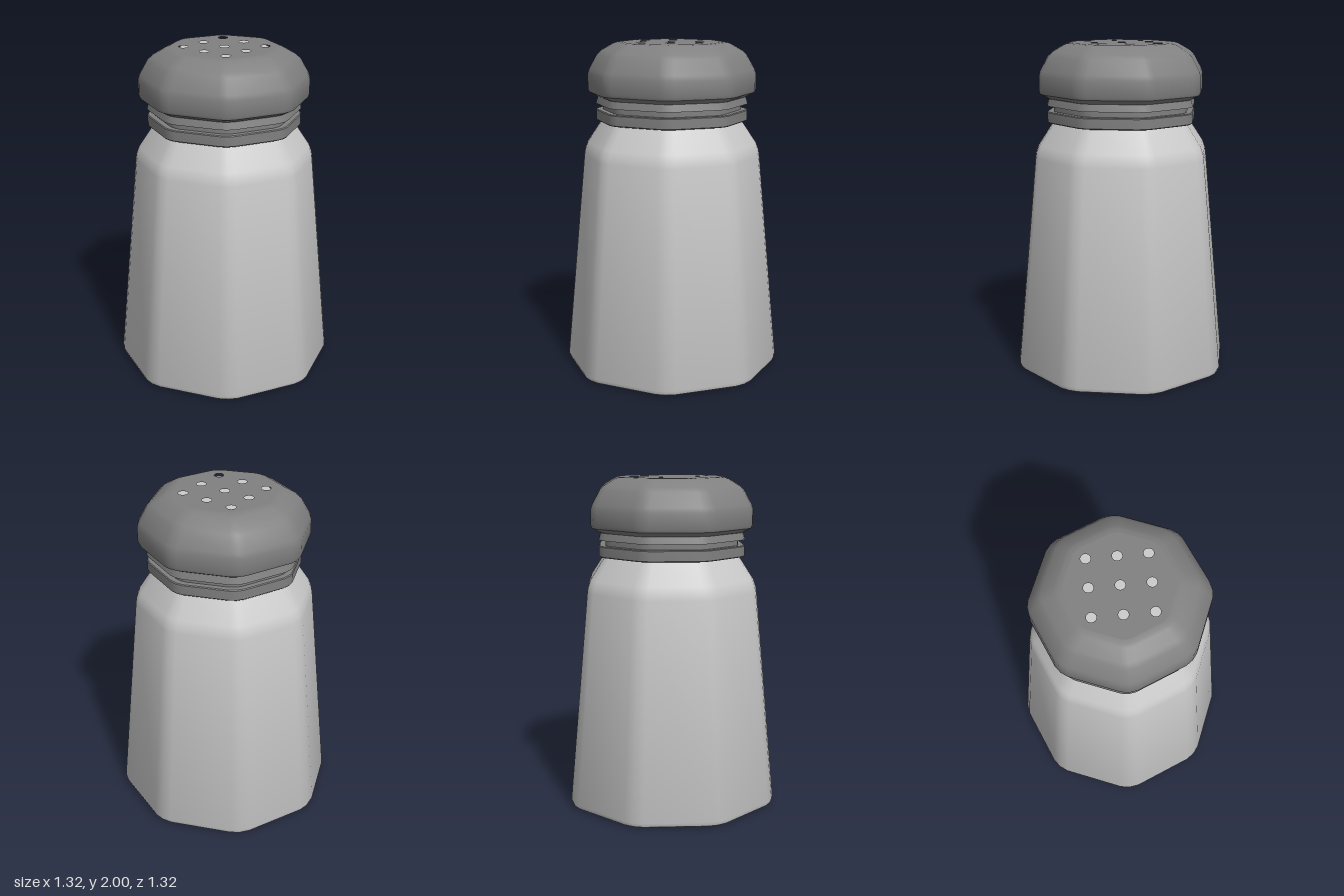
import * as THREE from 'three';
import { toCreasedNormals } from 'three/addons/utils/BufferGeometryUtils.js';

const CORNER = THREE.MathUtils.degToRad(5.3); // half-width of each rounded corner
const glass = new THREE.MeshStandardMaterial({ color: 0xcccccc });
const metal = new THREE.MeshStandardMaterial({ color: 0x808080 });

// Point i of 24 on a unit octagon whose corners are rounded by three points each
function octagonPoint(i) {
  const step = ((i + 1) % 3) - 1; // -1, 0, 1 across a corner
  const angle = Math.floor((i + 1) / 3) * Math.PI / 4 + step * CORNER;
  const r = step === 0 ? 1 : 0.99;
  return [Math.sin(angle) * r, Math.cos(angle) * r];
}

// Lathe a profile, then move its 24 columns onto the rounded octagon
function octagonLathe(name, material, profile) {
  const points = profile.map(([r, y]) => new THREE.Vector2(r, y));
  const geometry = new THREE.LatheGeometry(points, 24);
  const pos = geometry.attributes.position;
  for (let v = 0; v < pos.count; v++) {
    const [x, z] = octagonPoint(Math.floor(v / points.length) % 24);
    const r = points[v % points.length].x;
    pos.setX(v, x * r);
    pos.setZ(v, z * r);
  }
  const mesh = new THREE.Mesh(toCreasedNormals(geometry, 0.6), material);
  mesh.name = name;
  return mesh;
}

export function createModel() {
  const group = new THREE.Group();
  group.name = 'saltShaker';

  // Tapered body with a small foot bevel and sloping shoulder
  group.add(octagonLathe('body', glass, [
    [0, 0], [0.63, 0], [0.65, 0.01], [0.66, 0.035],
    [0.537, 1.32], [0.532, 1.35], [0.515, 1.395], [0.425, 1.53], [0.41, 1.56], [0, 1.56],
  ]));

  // Threaded collar: lower ring, groove, flared upper ring
  group.add(octagonLathe('collar', metal, [
    [0.38, 1.53], [0.455, 1.53], [0.46, 1.535], [0.46, 1.592], [0.455, 1.597],
    [0.42, 1.597], [0.42, 1.632], [0.462, 1.632], [0.445, 1.69], [0.38, 1.69],
  ]));

  // Domed lid, open in the middle of its top
  group.add(octagonLathe('lid', metal, [
    [0.38, 1.675], [0.452, 1.675], [0.47, 1.685], [0.503, 1.702], [0.51, 1.72],
    [0.51, 1.81], [0.5, 1.84], [0.452, 1.925], [0.425, 1.95],
    [0.355, 1.99], [0.335, 1.997], [0.31, 2],
  ]));

  // Flat lid top with a three by three grid of holes
  const outline = [];
  for (let i = 0; i < 24; i++) {
    const [x, z] = octagonPoint(i);
    outline.push(new THREE.Vector2(x * 0.31, z * 0.31));
  }
  const shape = new THREE.Shape(outline);
  for (const x of [-0.17, 0, 0.17]) {
    for (const y of [-0.17, 0, 0.17]) {
      shape.holes.push(new THREE.Path().absarc(x, y, 0.028, 0, Math.PI * 2, true));
    }
  }
  const topGeometry = new THREE.ExtrudeGeometry(shape, { depth: 0.025, bevelEnabled: false, curveSegments: 16 });
  topGeometry.rotateX(-Math.PI / 2);
  const top = new THREE.Mesh(topGeometry, metal);
  top.name = 'perforatedTop';
  top.position.y = 1.975;
  group.add(top);

  // Pale plate seen through the holes
  const plate = new THREE.Mesh(new THREE.CircleGeometry(0.28, 24), glass);
  plate.name = 'holeFloor';
  plate.rotation.x = -Math.PI / 2;
  plate.position.y = 1.98;
  group.add(plate);

  return group;
}
